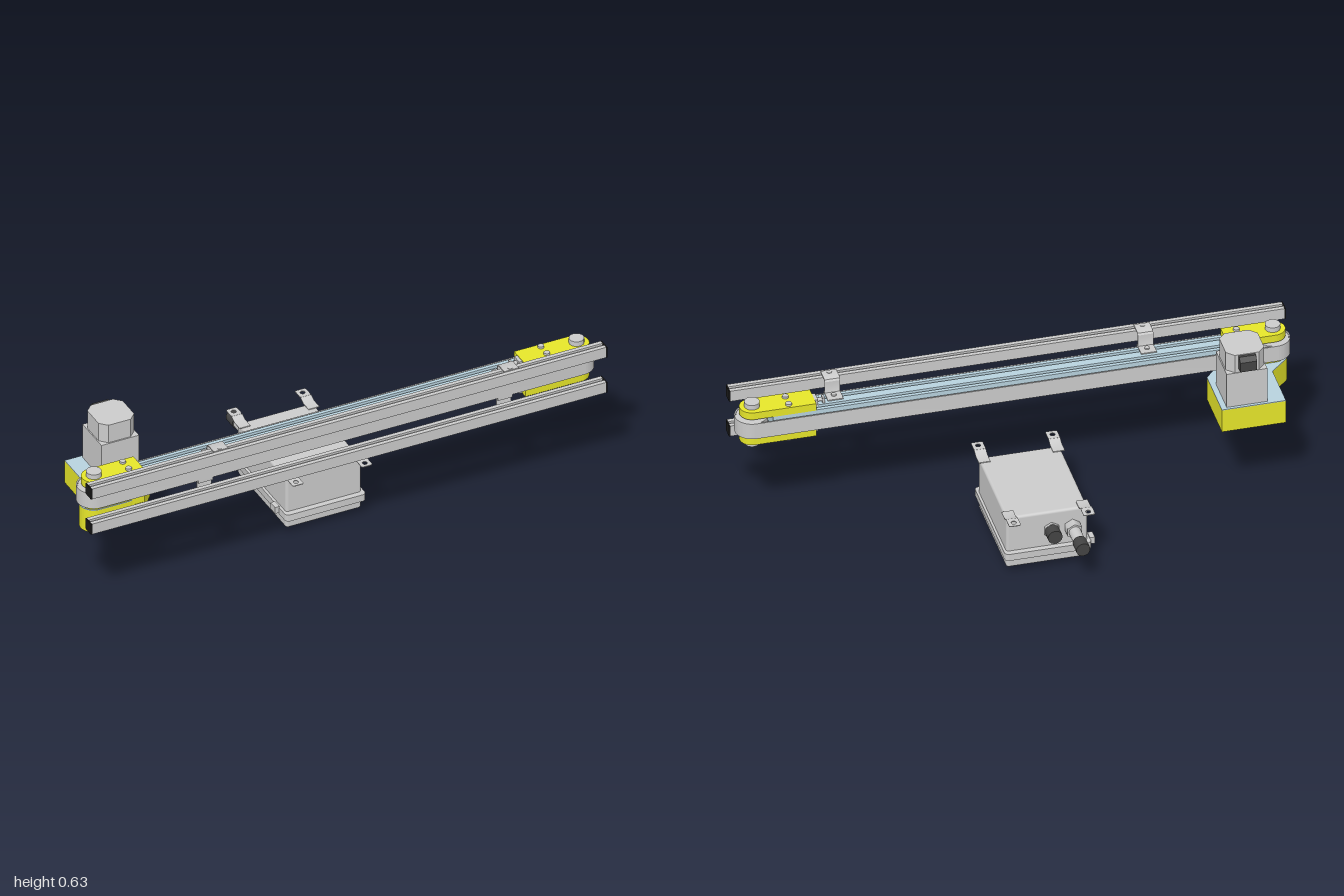
import * as THREE from 'three';
import { RoundedBoxGeometry } from 'three/addons/geometries/RoundedBoxGeometry.js';
import { toCreasedNormals } from 'three/addons/utils/BufferGeometryUtils.js';

const mat = (color) => new THREE.MeshStandardMaterial({ color });
const grey = mat(0xcccccc), yellow = mat(0xe6e62a), blue = mat(0xb8d2de);
const black = mat(0x1a1a1a), dark = mat(0x444444), red = mat(0xcc2222), green = mat(0x33aa33);

export function createModel() {
  const root = new THREE.Group();

  const add = (name, geo, material = grey, parent = root) => {
    const m = new THREE.Mesh(geo, material);
    m.name = name;
    parent.add(m);
    return m;
  };
  // box given by its limits
  const box = (name, x0, x1, y0, y1, z0, z1, material, parent) => {
    const m = add(name, new THREE.BoxGeometry(x1 - x0, y1 - y0, z1 - z0), material, parent);
    m.position.set((x0 + x1) / 2, (y0 + y1) / 2, (z0 + z1) / 2);
    return m;
  };
  // upright cylinder between two heights
  const post = (name, x, z, r, y0, y1, material, sides = 32) => {
    const m = add(name, new THREE.CylinderGeometry(r, r, y1 - y0, sides), material);
    m.position.set(x, (y0 + y1) / 2, z);
    return m;
  };
  // cylinder lying along z
  const barrel = (name, x, y, r, z0, z1, material, sides = 32) => {
    const g = new THREE.CylinderGeometry(r, r, z1 - z0, sides).rotateX(Math.PI / 2);
    add(name, g, material).position.set(x, y, (z0 + z1) / 2);
  };
  const polygon = (pts) => new THREE.Shape(pts.map((p) => new THREE.Vector2(p[0], p[1])));
  const extrude = (shape, depth) => toCreasedNormals(
    new THREE.ExtrudeGeometry(shape, { depth, bevelEnabled: false, curveSegments: 20 }), 0.5);
  // plan outline (x, z) raised from y0 to y1
  const plan = (shape, y0, y1) => extrude(shape, y1 - y0).rotateX(Math.PI / 2).translate(0, y1, 0);
  // section (z, y) swept along x
  const along = (shape, x0, x1) => extrude(shape, x1 - x0).rotateY(-Math.PI / 2).translate(x1, 0, 0);

  // bent sheet-metal strip: offset a (z, y) polyline by its thickness
  const strip = (pts, t) => {
    const p = pts.map((q) => new THREE.Vector2(q[0], q[1]));
    const normal = (a, b) => new THREE.Vector2(a.y - b.y, b.x - a.x).normalize();
    const off = p.map((q, i) => {
      const n1 = normal(p[Math.max(i - 1, 0)], p[Math.max(i, 1)]);
      const n2 = normal(p[Math.min(i, p.length - 2)], p[Math.min(i + 1, p.length - 1)]);
      const n = n1.clone().add(n2).normalize();
      return q.clone().addScaledVector(n, t / n.dot(n1));
    });
    return new THREE.Shape([...p, ...off.reverse()]);
  };
  // stadium outline around the two pulley axes
  const AX = 0.935, AZ = 0.2545, MID = 0.467;
  const stadium = (r, Kind) => {
    const s = new Kind();
    s.moveTo(-AX, AZ - r);
    s.lineTo(AX, AZ - r);
    s.absarc(AX, AZ, r, -Math.PI / 2, Math.PI / 2, false);
    s.lineTo(-AX, AZ + r);
    s.absarc(-AX, AZ, r, Math.PI / 2, Math.PI * 1.5, false);
    return s;
  };
  const roundRect = (x0, x1, z0, z1, r) => {
    const s = new THREE.Shape();
    s.absarc(x1 - r, z0 + r, r, -Math.PI / 2, 0, false);
    s.absarc(x1 - r, z1 - r, r, 0, Math.PI / 2, false);
    s.absarc(x0 + r, z1 - r, r, Math.PI / 2, Math.PI, false);
    s.absarc(x0 + r, z0 + r, r, Math.PI, Math.PI * 1.5, false);
    return s;
  };

  // conveyor belt and its pulleys
  const loop = stadium(0.0615, THREE.Shape);
  loop.holes.push(stadium(0.0565, THREE.Path));
  add('belt', plan(loop, 0.436, 0.499));

  // slotted beam: grooves cut in its top and bottom faces
  const slotted = (z0, z1, y0, y1, slots, w, d) => {
    const top = [], bottom = [];
    for (const c of slots) {
      bottom.push([c - w, y0], [c - w, y0 + d], [c + w, y0 + d], [c + w, y0]);
      top.unshift([c + w, y1], [c + w, y1 - d], [c - w, y1 - d], [c - w, y1]);
    }
    return polygon([[z0, y0], ...bottom, [z1, y0], [z1, y1], ...top, [z0, y1]]);
  };
  add('beam', along(slotted(0.211, 0.298, 0.426, 0.508, [0.232, 0.277], 0.007, 0.018), -0.87, 0.87), blue);

  // end blocks, axle caps and bolts
  for (const side of [-1, 1]) {
    const inner = side < 0 ? 0.76 : 0.715;
    const x = side * AX;
    const s = new THREE.Shape();
    s.moveTo(inner, 0.21);
    s.lineTo(AX, 0.21);
    s.absarc(AX, AZ, 0.0445, -Math.PI / 2, Math.PI / 2, false);
    s.lineTo(inner, 0.299);
    const outline = polygon(s.getPoints(20).map((p) => [p.x * side, p.y]));
    post('pulley', x, AZ, 0.056, 0.438, 0.497, grey);
    post('axle', x, AZ, 0.02, 0.40, 0.53, blue);
    for (const [y0, y1, c0, c1, b0, b1] of [
      [0.506, 0.535, 0.535, 0.554, 0.535, 0.543],
      [0.399, 0.428, 0.380, 0.399, 0.391, 0.399]]) {
      add('endBlock', plan(outline, y0, y1), yellow);
      post('axleCap', x, AZ, 0.027, c0, c1);
      for (const z of [0.228, 0.275]) post('blockBolt', side * 0.81, z, 0.011, b0, b1, grey, 20);
    }
  }
  // belt tensioner
  for (const y of [0.52, MID * 2 - 0.52]) {
    box('tensionerPlate', 0.703, 0.716, y - 0.013, y + 0.013, 0.235, 0.275);
    const screw = add('tensionerScrew', new THREE.CylinderGeometry(0.007, 0.007, 0.03, 12).rotateZ(Math.PI / 2));
    screw.position.set(0.69, y, AZ);
    box('tensionerNut', 0.676, 0.684, y - 0.011, y + 0.011, AZ - 0.011, AZ + 0.011);
  }

  // guide rails and brackets, upper set and its mirror below
  const bracketShape = strip([[0.352, 0.564], [0.308, 0.564], [0.303, 0.562], [0.3, 0.557],
    [0.3, 0.514], [0.298, 0.509], [0.25, 0.509]].reverse(), 0.004);
  const flangeShape = polygon([[0.298, 0.5], [0.313, 0.5], [0.313, 0.511], [0.298, 0.511]]);
  for (const [name, flip, centres] of [['upperGuide', 1, [-0.49, 0.635]], ['lowerGuide', -1, [-0.53, 0.63]]]) {
    const g = new THREE.Group();
    g.name = name;
    g.scale.y = flip;
    g.position.y = flip < 0 ? 2 * MID : 0;
    root.add(g);
    add('rail', along(slotted(0.321, 0.365, 0.519, 0.562, [0.343], 0.006, 0.008), -0.995, 0.995), grey, g);
    for (const s of [-1, 1]) {
      const x = s * 0.9975;
      box('railEndCap', x - 0.0025, x + 0.0025, 0.519, 0.562, 0.321, 0.365, black, g);
    }
    for (const c of centres) {
      add('bracket', along(bracketShape, c - 0.028, c + 0.028), grey, g);
      add('bracketFoot', along(flangeShape, c - 0.028, c + 0.028), grey, g);
      for (const z of [0.277, 0.34]) {
        const bolt = add('bracketBolt', new THREE.CylinderGeometry(0.009, 0.009, 0.006, 16), grey, g);
        bolt.position.set(c, z < 0.3 ? 0.515 : 0.567, z);
      }
    }
  }

  // drive cover: square part under the motor, rounded part under the pulley
  const cover = new THREE.Shape();
  cover.moveTo(-0.91, -0.025);
  cover.lineTo(-0.68, -0.025);
  cover.lineTo(-0.68, 0.18);
  cover.lineTo(-0.74, 0.25);
  cover.quadraticCurveTo(-0.78, 0.302, -0.83, 0.302);
  cover.lineTo(-AX, 0.302);
  cover.absarc(-AX, 0.252, 0.05, Math.PI / 2, Math.PI * 1.25, false);
  cover.lineTo(-0.91, 0.16);
  add('driveCover', plan(cover, 0.328, 0.418), yellow);
  add('driveCoverLid', plan(cover, 0.418, 0.421), blue);

  // gear unit, motor with cut corners and its plug
  const octagon = (x0, x1, z0, z1, c) => polygon([[x0 + c, z0], [x1 - c, z0], [x1, z0 + c], [x1, z1 - c],
    [x1 - c, z1], [x0 + c, z1], [x0, z1 - c], [x0, z0 + c]]);
  box('gearUnit', -0.846, -0.7, 0.421, 0.56, -0.014, 0.134);
  add('motor', plan(octagon(-0.842, -0.704, -0.011, 0.129, 0.026), 0.56, 0.633));
  add('motorPlug', along(polygon([[-0.011, 0.577], [-0.011, 0.63], [-0.022, 0.63], [-0.038, 0.615],
    [-0.038, 0.577]].reverse()), -0.803, -0.743), dark);

  // control box
  const body = add('controlBox', new RoundedBoxGeometry(0.292, 0.21, 0.385, 4, 0.01));
  body.position.set(-0.002, 0.13, -0.0225);
  add('boxFlange', plan(roundRect(-0.158, 0.153, -0.236, 0.192, 0.015), 0.068, 0.095));
  for (const z of [-0.197, 0.117]) box('boxHinge', -0.174, -0.156, 0.074, 0.1, z - 0.018, z + 0.018);

  // mounting ears at the four top corners, with a screw slot
  for (const x of [-0.136, 0.131]) {
    for (const s of [-1, 1]) {
      const zc = -0.0225;
      const pts = [[0.155, 0.235], [0.197, 0.235], [0.22, 0.246]].map(([d, y]) => [zc + s * d, y]);
      if (s < 0) pts.reverse();
      add('earFoot', along(strip(pts, 0.003), x - 0.021, x + 0.021));
      const ends = [zc + s * 0.219, zc + s * 0.2645];
      const tab = roundRect(x - 0.021, x + 0.021, Math.min(...ends), Math.max(...ends), 0.006);
      const hole = new THREE.Path();
      hole.absarc(x, zc + s * 0.244, 0.009, 0, Math.PI * 2, true);
      tab.holes.push(hole);
      add('earTab', plan(tab, 0.246, 0.249));
    }
  }

  // cable glands on the back of the box
  barrel('longGlandNut', -0.093, 0.16, 0.03, -0.25, -0.213, grey, 6);
  barrel('longGlandBody', -0.093, 0.16, 0.021, -0.318, -0.213, grey);
  barrel('longGlandCap', -0.093, 0.16, 0.025, -0.365, -0.315, dark);
  barrel('shortGlandNut', -0.018, 0.16, 0.03, -0.225, -0.213, grey, 6);
  barrel('shortGlandCap', -0.018, 0.16, 0.026, -0.267, -0.213, dark);

  // switch panel and knob under the box
  add('switchPlate', plan(roundRect(-0.113, -0.008, -0.033, 0.133, 0.008), 0.008, 0.026), dark);
  box('switchRecess', -0.092, -0.029, 0.006, 0.009, 0.005, 0.095, black);
  box('stopButton', -0.082, -0.039, 0.003, 0.008, 0.012, 0.05, red);
  box('startButton', -0.082, -0.039, 0.003, 0.008, 0.053, 0.085, green);
  post('knobBase', 0.08, 0.085, 0.034, 0.014, 0.026, dark);
  post('knob', 0.08, 0.085, 0.026, 0.006, 0.016, black);
  box('knobGrip', 0.064, 0.096, 0, 0.012, 0.07, 0.1, dark);

  return root;
}
